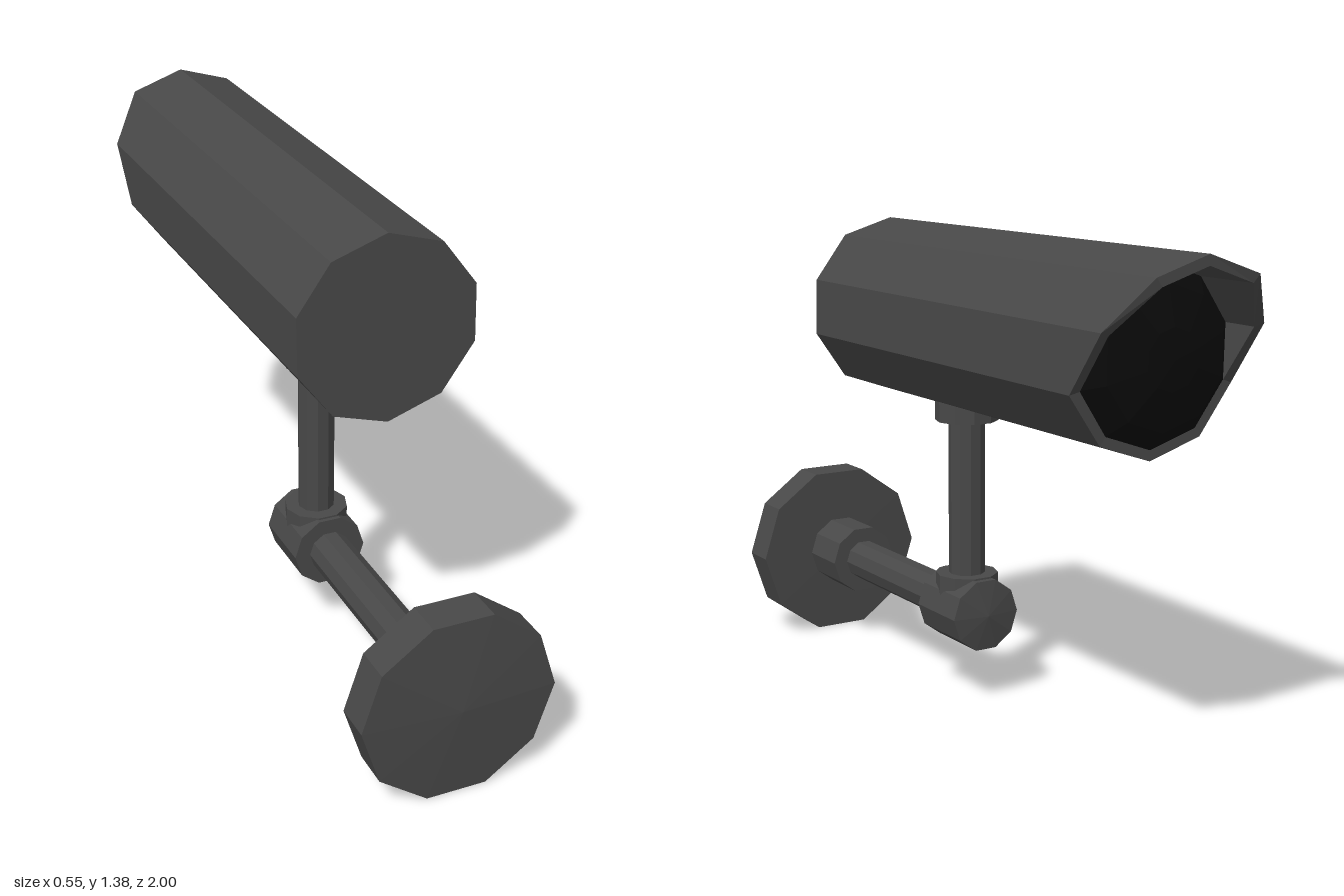
import * as THREE from 'three';

const SIDES = 10;
const metal = new THREE.MeshStandardMaterial({ color: 0x484848, flatShading: true });
const glass = new THREE.MeshStandardMaterial({ color: 0x0a0a0a, flatShading: true });

// Ten-sided turned part; profile is [radius, height] from bottom to top
function turned(name, profile, material = metal, phase = Math.PI / SIDES) {
  const points = profile.map(([r, h]) => new THREE.Vector2(r, h));
  const mesh = new THREE.Mesh(new THREE.LatheGeometry(points, SIDES, phase), material);
  mesh.name = name;
  return mesh;
}
const rod = (name, r, from, to, cap = 0) =>
  turned(name, [[0, from - cap], [r, from], [r, to], [0, to]]);

// Hollow hood: rings run from the closed end, over the slanted rim, to the inside
function hoodGeometry(cy, outer, inner, tilt) {
  const rimZ = (y) => -0.8 - 0.2 * THREE.MathUtils.clamp((y - 1.045) / 0.27, 0, 1);
  const ring = (r, zOf) => Array.from({ length: SIDES }, (_, i) => {
    const a = Math.PI / 2 + tilt + (i * 2 * Math.PI) / SIDES;
    const y = cy + r * Math.sin(a);
    return [r * Math.cos(a), y, zOf(y)];
  });
  const rings = [
    ring(0, () => 0.52), ring(outer, () => 0.52), ring(outer, rimZ),
    ring(inner, rimZ), ring(inner, () => -0.76),
  ];
  const pos = [];
  for (let j = 0; j < rings.length - 1; j++) {
    for (let i = 0; i < SIDES; i++) {
      const k = (i + 1) % SIDES;
      const a = rings[j][i], b = rings[j + 1][i], c = rings[j + 1][k], d = rings[j][k];
      pos.push(...a, ...b, ...c);
      if (j > 0) pos.push(...a, ...c, ...d);
    }
  }
  const geometry = new THREE.BufferGeometry();
  geometry.setAttribute('position', new THREE.Float32BufferAttribute(pos, 3));
  geometry.computeVertexNormals();
  return geometry;
}

export function createModel() {
  const model = new THREE.Group();
  model.name = 'securityCamera';

  // Horizontal wall mount, turned about the z axis
  const wallMount = new THREE.Group();
  wallMount.name = 'wallMount';
  wallMount.add(
    turned('wallPlate', [[0, 0.87], [0.275, 0.875], [0.275, 0.983], [0, 1]]),
    rod('wallCollar', 0.108, 0.71, 0.88),
    rod('horizontalArm', 0.062, 0.1, 0.75),
    rod('elbow', 0.108, -0.035, 0.17, 0.015),
  );
  wallMount.rotation.x = Math.PI / 2;
  wallMount.position.y = 0.267;
  model.add(wallMount);

  // Upright post with a collar at each end
  const post = new THREE.Group();
  post.name = 'post';
  post.add(
    rod('lowerCollar', 0.092, 0.3, 0.375),
    rod('upright', 0.053, 0.3, 0.89),
    rod('upperCollar', 0.092, 0.83, 0.9),
  );
  post.position.z = 0.07;
  model.add(post);

  // Camera body with slanted sunshade
  const tilt = 0.02;
  const hood = new THREE.Mesh(hoodGeometry(1.123, 0.263, 0.235, tilt), metal);
  hood.name = 'housing';
  model.add(hood);

  // Dark domed lens, bulging toward the open end
  const lens = turned('lens',
    [[0.235, 0.76], [0.235, 0.8], [0.185, 0.85], [0.08, 0.88], [0, 0.887]], glass, 0);
  lens.geometry.rotateX(-Math.PI / 2);
  lens.rotation.z = tilt;
  lens.position.y = 1.123;
  model.add(lens);

  return model;
}
